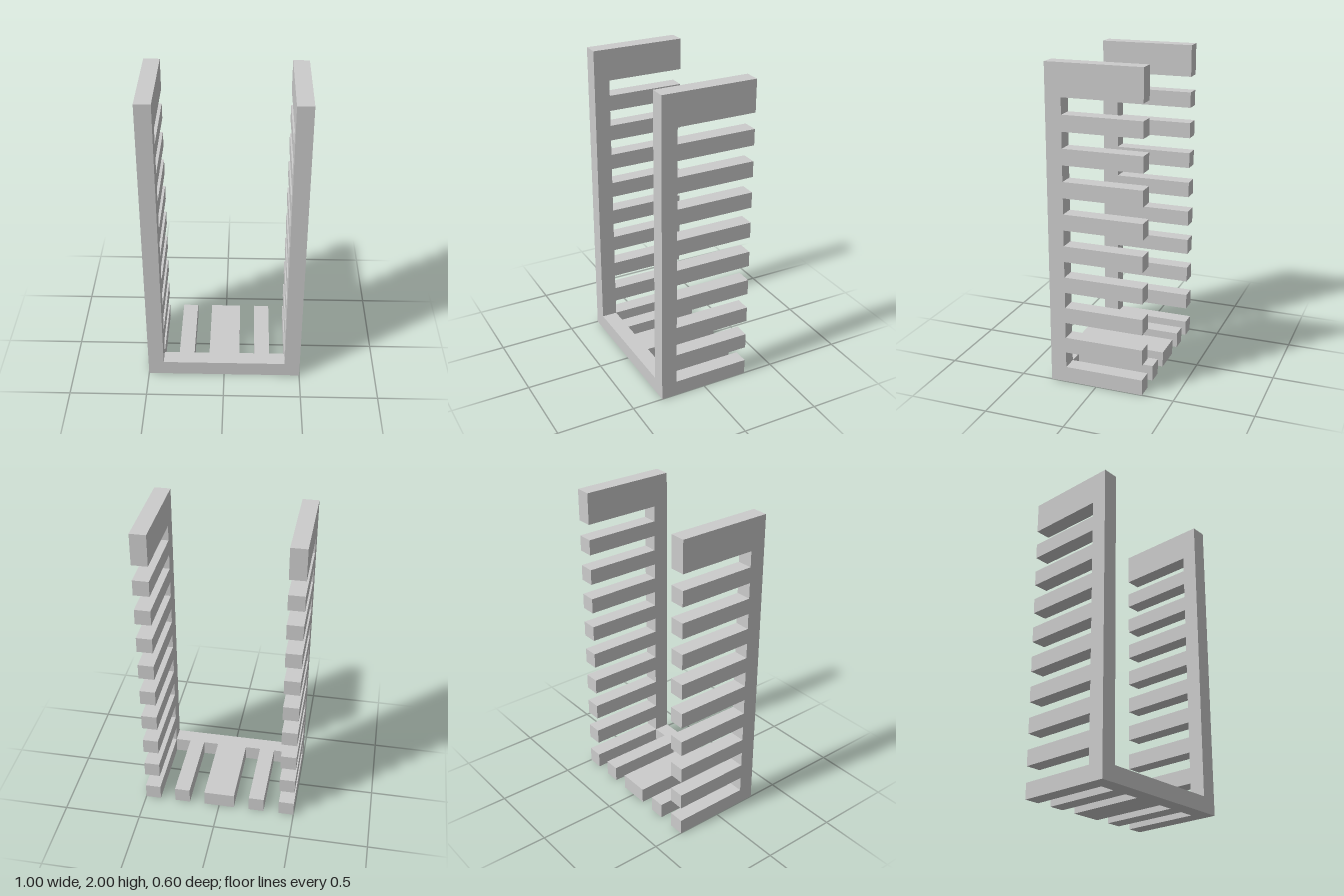
import * as THREE from 'three';

const FRONT = 0.3, ROOT = 0.2, BACK = -0.3, THICK = 0.1;

// Comb lying in the z-y plane: a spine along the front with teeth reaching back.
// Extruded towards -x by THICK. Teeth are [low, high] pairs in rising order.
function combGeometry(start, end, teeth) {
  const points = [[FRONT, start], [FRONT, end]];
  if (teeth[teeth.length - 1][1] < end) points.push([ROOT, end]);
  for (const [low, high] of [...teeth].reverse()) {
    if (high < end) points.push([ROOT, high]);
    points.push([BACK, high], [BACK, low]);
    if (low > start) points.push([ROOT, low]);
  }
  if (teeth[0][0] > start) points.push([ROOT, start]);
  const shape = new THREE.Shape(points.map(([z, u]) => new THREE.Vector2(z, u)));
  return new THREE.ExtrudeGeometry(shape, { depth: THICK, bevelEnabled: false })
    .rotateY(-Math.PI / 2);
}

export function createModel() {
  const group = new THREE.Group();
  const material = new THREE.MeshStandardMaterial({ color: 0xcccccc, flatShading: true });

  function add(name, geometry) {
    const mesh = new THREE.Mesh(geometry, material);
    mesh.name = name;
    group.add(mesh);
  }

  // Side walls: nine narrow teeth and a double-height one at the top
  const wallTeeth = [];
  for (let i = 0; i < 9; i++) wallTeeth.push([i * 0.2, i * 0.2 + 0.1]);
  wallTeeth.push([1.8, 2]);
  add('leftWall', combGeometry(0, 2, wallTeeth).translate(0.5, 0, 0));
  add('rightWall', combGeometry(0, 2, wallTeeth).translate(-0.4, 0, 0));

  // Floor between the walls: a wide centre tooth flanked by narrow ones
  const floorTeeth = [[-0.3, -0.2], [-0.1, 0.1], [0.2, 0.3]];
  add('floor', combGeometry(-0.4, 0.4, floorTeeth).rotateZ(-Math.PI / 2));

  return group;
}
